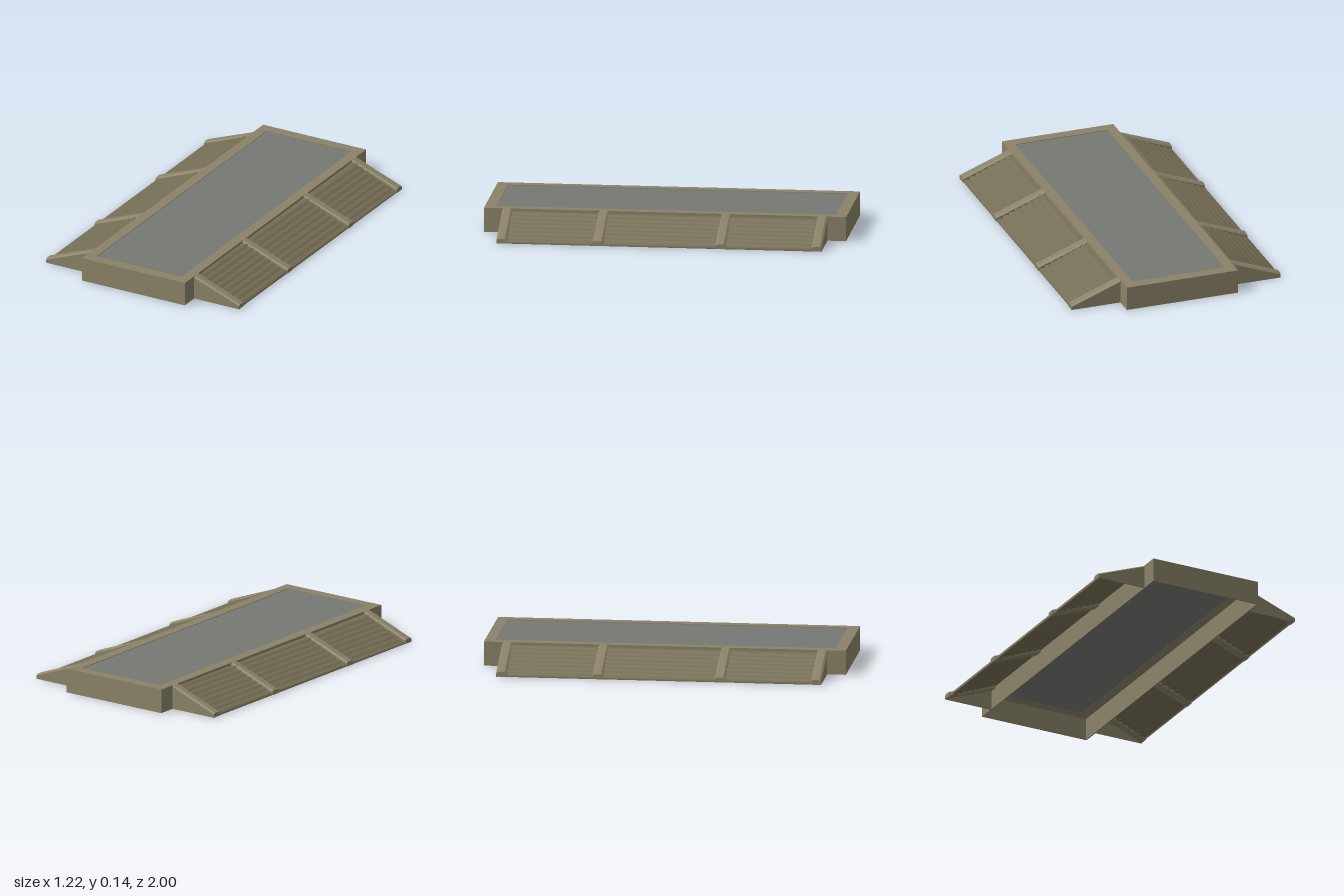
import * as THREE from 'three';

const HALF_W = 0.325, HALF_L = 1, TOP = 0.135;   // platform
const REACH = 0.61, LIP = 0.027;                  // side ramps
const SLOPE = (TOP - LIP) / (REACH - HALF_W);

const stone = new THREE.MeshStandardMaterial({ color: 0x8a8268, side: THREE.DoubleSide });
stone.name = 'olive stone';
const step = new THREE.MeshStandardMaterial({ color: 0x766f56, side: THREE.DoubleSide });
step.name = 'dark olive steps';
const slab = new THREE.MeshStandardMaterial({ color: 0x767872, side: THREE.DoubleSide });
slab.name = 'grey slab';

function add(parent, name, geometry, material) {
  const mesh = new THREE.Mesh(geometry, material);
  mesh.name = name;
  parent.add(mesh);
  return mesh;
}

// Rectangular ring lying flat, from y0 up to y1
function ring(w, l, iw, il, y0, y1) {
  const rect = (P, a, b) => {
    const p = new P();
    p.moveTo(-a, -b); p.lineTo(a, -b); p.lineTo(a, b); p.lineTo(-a, b); p.closePath();
    return p;
  };
  const shape = rect(THREE.Shape, w, l);
  shape.holes.push(rect(THREE.Path, iw, il));
  const g = new THREE.ExtrudeGeometry(shape, { depth: y1 - y0, bevelEnabled: false });
  return g.rotateX(-Math.PI / 2).translate(0, y0, 0);
}

// Sloping bar with softened upper edges, sheared to follow the ramp
function barGeometry() {
  const h = 0.028, t = -0.026;
  const s = new THREE.Shape([
    [-h, t], [h, t], [h, -0.008], [0.018, 0], [-0.018, 0], [-h, -0.008],
  ].map(([x, y]) => new THREE.Vector2(x, y)));
  const g = new THREE.ExtrudeGeometry(s, { depth: REACH - HALF_W, bevelEnabled: false });
  g.rotateY(Math.PI / 2).translate(HALF_W, 0, 0);
  const p = g.attributes.position;
  for (let i = 0; i < p.count; i++) {
    p.setY(i, p.getY(i) + TOP - (p.getX(i) - HALF_W) * SLOPE);
  }
  g.computeVertexNormals();
  return g;
}

// Folded sheet of treads and risers with softly shaded edges
function stepsGeometry() {
  const n = 8, run = 0.035, rise = 0.015, z = 0.87;
  const profile = [];
  for (let i = 0; i < n; i++) {
    const x = 0.605 - run * i;
    profile.push([x, rise * i], [x, rise * (i + 1)]);
  }
  profile.push([HALF_W, rise * n]);
  const pos = [], idx = [];
  profile.forEach(([x, y], i) => {
    pos.push(x, y, z, x, y, -z);
    if (i) {
      const a = 2 * i - 2;
      idx.push(a, a + 1, a + 2, a + 1, a + 3, a + 2);
    }
  });
  const g = new THREE.BufferGeometry();
  g.setAttribute('position', new THREE.Float32BufferAttribute(pos, 3));
  g.setIndex(idx);
  g.computeVertexNormals();
  return g;
}

// Thin wedge closing the end of a ramp
function wedgeGeometry() {
  const s = new THREE.Shape([
    [HALF_W, 0], [REACH, 0], [REACH, LIP], [HALF_W, TOP],
  ].map(([x, y]) => new THREE.Vector2(x, y - (y > 0 ? 0.008 : 0))));
  return new THREE.ExtrudeGeometry(s, { depth: 0.006, bevelEnabled: false }).translate(0, 0, -0.003);
}

export function createModel() {
  const model = new THREE.Group();
  model.name = 'steppedPlatform';

  // Hollow platform: walls, rim and inset slab
  const platform = new THREE.Group();
  platform.name = 'platform';
  model.add(platform);
  add(platform, 'walls', ring(HALF_W, HALF_L, HALF_W - 0.006, HALF_L - 0.006, 0, TOP - 0.01), stone);
  add(platform, 'rim', ring(HALF_W, HALF_L, 0.268, 0.938, TOP - 0.01, TOP), stone);
  add(platform, 'slab', new THREE.BoxGeometry(0.536, 0.006, 1.876).translate(0, TOP - 0.006, 0), slab);

  // Stepped ramp on each side, the second turned half round
  const bar = barGeometry(), steps = stepsGeometry(), wedge = wedgeGeometry();
  for (const side of ['left', 'right']) {
    const ramp = new THREE.Group();
    ramp.name = side + 'Ramp';
    if (side === 'right') ramp.rotation.y = Math.PI;
    model.add(ramp);
    add(ramp, 'steps', steps, step);
    for (const z of [-0.87, -0.338, 0.338, 0.87]) {
      add(ramp, 'slopingBar', bar, stone).position.z = z;
    }
    for (const z of [-0.894, 0.894]) {
      add(ramp, 'endWedge', wedge, stone).position.z = z;
    }
  }
  return model;
}
